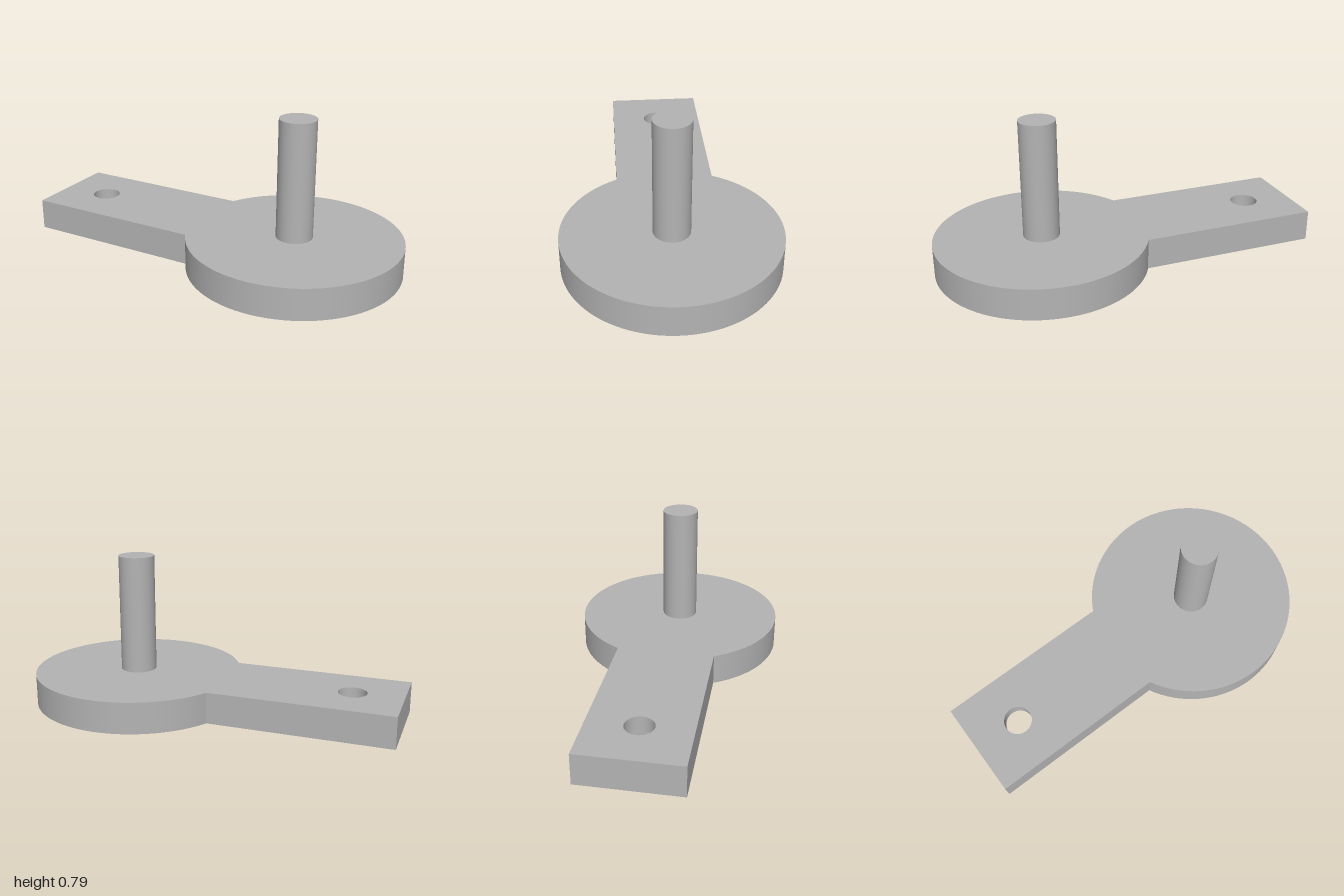
import * as THREE from 'three';
import { mergeGeometries, toCreasedNormals } from 'three/addons/utils/BufferGeometryUtils.js';

const THICK = 0.165, POCKET_DEPTH = 0.083;
const DISC_X = 0.443, DISC_R = 0.557, ARM_HALF = 0.26;
const HOLE_X = -0.74, HOLE_R = 0.074;

// Counter-clockwise points along an arc
function arc(cx, r, from, to, steps) {
  return Array.from({ length: steps + 1 }, (_, i) => {
    const a = from + (to - from) * i / steps;
    return new THREE.Vector2(cx + r * Math.cos(a), r * Math.sin(a));
  });
}

// Vertical wall along a closed loop: faces out if counter-clockwise, in if clockwise
function wall(points, y0, y1) {
  const pos = [];
  points.forEach((p, i) => {
    const q = points[(i + 1) % points.length];
    pos.push(p.x, y0, -p.y, q.x, y0, -q.y, q.x, y1, -q.y);
    pos.push(p.x, y0, -p.y, q.x, y1, -q.y, p.x, y1, -p.y);
  });
  const g = new THREE.BufferGeometry();
  g.setAttribute('position', new THREE.Float32BufferAttribute(pos, 3));
  return g;
}

// Flat horizontal face with an optional hole, facing up or down
function cap(outline, hole, y, up) {
  const shape = new THREE.Shape(outline);
  if (hole) shape.holes.push(new THREE.Path(hole));
  let g = new THREE.ShapeGeometry(shape);
  g.rotateX(up ? -Math.PI / 2 : Math.PI / 2).translate(0, y, 0);
  g = g.toNonIndexed();
  g.deleteAttribute('uv');
  g.deleteAttribute('normal');
  return g;
}

export function createModel() {
  const group = new THREE.Group();
  const grey = new THREE.MeshStandardMaterial({ color: 0xb4b4b4 });
  grey.name = 'plain grey';

  // Outline of the round plate with its straight arm
  const join = Math.PI - Math.asin(ARM_HALF / DISC_R);
  const outline = [
    ...arc(DISC_X, DISC_R, -join, join, 96),
    new THREE.Vector2(-1, ARM_HALF),
    new THREE.Vector2(-1, -ARM_HALF),
  ];
  // Screw hole and the rectangular pocket beneath it
  const hole = arc(HOLE_X, HOLE_R, 0, Math.PI * 2, 40).slice(0, -1);
  const pocket = [[-0.955, -0.152], [-0.638, -0.152], [-0.638, 0.152], [-0.955, 0.152]]
    .map(([x, y]) => new THREE.Vector2(x, y));

  const plate = mergeGeometries([
    wall(outline, 0, THICK),
    cap(outline, hole, THICK, true),
    cap(outline, pocket, 0, false),
    cap(pocket, hole, POCKET_DEPTH, false),
    wall([...pocket].reverse(), 0, POCKET_DEPTH),
    wall([...hole].reverse(), POCKET_DEPTH, THICK),
  ]);
  const body = new THREE.Mesh(toCreasedNormals(plate, 0.5), grey);
  body.name = 'armPlate';
  group.add(body);

  // Upright pin on the disc
  const height = 0.79 - THICK;
  const pin = new THREE.Mesh(new THREE.CylinderGeometry(0.095, 0.095, height, 48), grey);
  pin.name = 'pin';
  pin.position.set(DISC_X, THICK + height / 2, 0);
  group.add(pin);

  return group;
}
